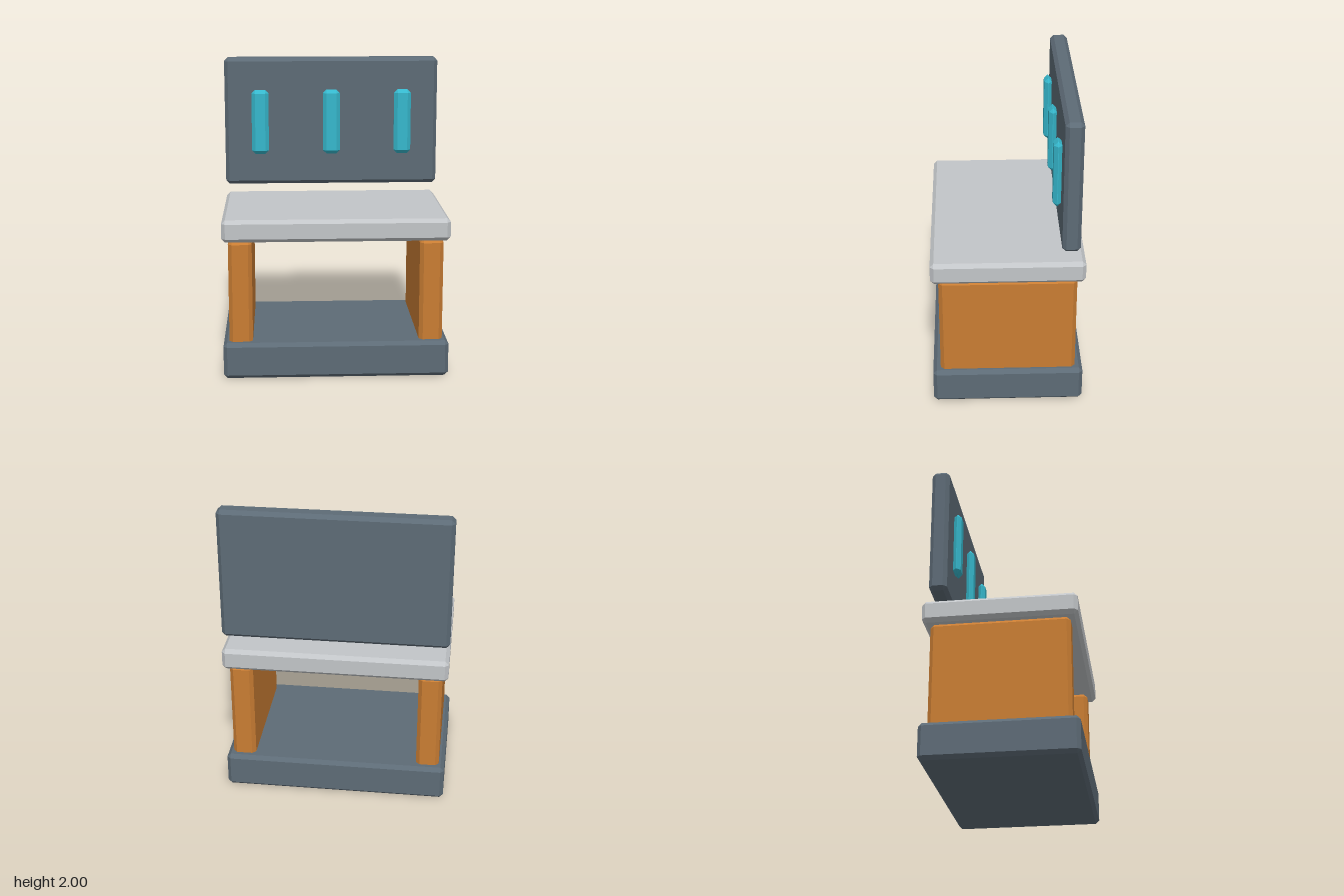
import * as THREE from 'three';
import { ConvexGeometry } from 'three/addons/geometries/ConvexGeometry.js';

const BEVEL = 0.024;

// Box with flat chamfers on every edge and corner
function chamferBox(w, h, d) {
  const half = [w / 2, h / 2, d / 2];
  const points = [];
  for (const sx of [-1, 1]) for (const sy of [-1, 1]) for (const sz of [-1, 1]) {
    for (let axis = 0; axis < 3; axis++) {
      const p = half.map((v, i) => (i === axis ? v : v - BEVEL));
      points.push(new THREE.Vector3(p[0] * sx, p[1] * sy, p[2] * sz));
    }
  }
  return new ConvexGeometry(points);
}

function material(name, color) {
  const m = new THREE.MeshStandardMaterial({ color });
  m.name = name;
  return m;
}

export function createModel() {
  const slate = material('slate', 0x5d6b76);
  const paleGrey = material('pale grey', 0xc2c5c8);
  const orange = material('orange', 0xc97d33);
  const cyan = material('cyan', 0x36b8cd);

  const model = new THREE.Group();
  model.name = 'workbench';

  // Adds a part spanning the given x, y and z ranges
  function add(name, mat, [x0, x1], [y0, y1], [z0, z1]) {
    const mesh = new THREE.Mesh(chamferBox(x1 - x0, y1 - y0, z1 - z0), mat);
    mesh.position.set((x0 + x1) / 2, (y0 + y1) / 2, (z0 + z1) / 2);
    mesh.name = name;
    model.add(mesh);
  }

  // Plinth and worktop
  add('base', slate, [-0.73, 0.73], [0, 0.237], [-0.487, 0.487]);
  add('worktop', paleGrey, [-0.73, 0.73], [0.905, 1.05], [-0.487, 0.487]);

  // Side supports, sunk into the base
  add('leftSupport', orange, [0.54, 0.692], [0.2, 0.905], [-0.438, 0.438]);
  add('rightSupport', orange, [-0.692, -0.54], [0.2, 0.905], [-0.438, 0.438]);

  // Back board floating above the rear edge, with three upright bars
  add('backBoard', slate, [-0.73, 0.73], [1.127, 2], [-0.448, -0.333]);
  [-0.488, 0, 0.488].forEach((x, i) => {
    add(`bar${i + 1}`, cyan, [x - 0.058, x + 0.058], [1.343, 1.785], [-0.335, -0.283]);
  });

  return model;
}
